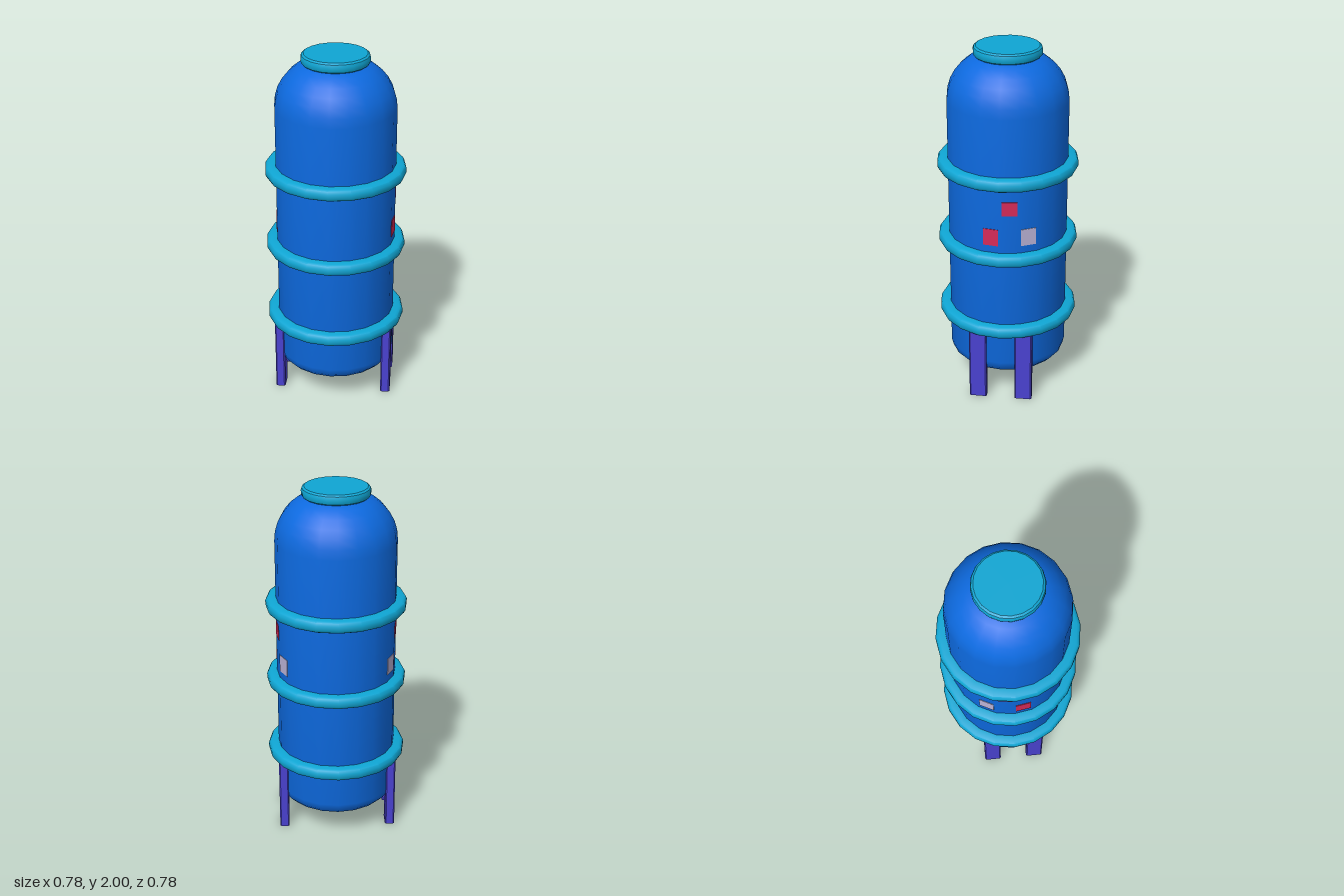
import * as THREE from 'three';
import { toCreasedNormals } from 'three/addons/utils/BufferGeometryUtils.js';

const SIDES = 20;
const RADIUS = 0.333;

function material(name, color) {
  const m = new THREE.MeshStandardMaterial({ color });
  m.name = name;
  return m;
}

// Revolved part from [radius, height] pairs, listed bottom to top
function lathe(points, crease = 0.6) {
  const profile = points.map(([r, y]) => new THREE.Vector2(r, y));
  return toCreasedNormals(new THREE.LatheGeometry(profile, SIDES), crease);
}

export function createModel() {
  const blue = material('tankBlue', 0x0d6ae0);
  const cyan = material('trimCyan', 0x0fa6d4);
  const violet = material('legViolet', 0x4a42d0);
  const red = material('panelRed', 0xd62a58);
  const grey = material('panelGrey', 0xbbb3d6);

  const model = new THREE.Group();
  model.name = 'storageTank';
  function add(name, geometry, mat, x = 0, y = 0, z = 0) {
    const mesh = new THREE.Mesh(geometry, mat);
    mesh.name = name;
    mesh.position.set(x, y, z);
    model.add(mesh);
    return mesh;
  }

  // Tank with rounded foot and domed top
  add('tankBody', lathe([
    [0, 0.15], [0.262, 0.15], [0.298, 0.165], [0.324, 0.192], [RADIUS, 0.23],
    [RADIUS, 1.7], [0.328, 1.752], [0.313, 1.802], [0.288, 1.848],
    [0.254, 1.89], [0.212, 1.924], [0.165, 1.946], [0, 1.955],
  ]), blue);

  // Lid
  add('lid', lathe([
    [0, 1.942], [0.172, 1.942], [0.183, 1.95], [0.187, 1.962],
    [0.187, 1.98], [0.183, 1.992], [0.172, 2], [0, 2],
  ]), cyan);

  // Hoops around the tank
  const hoop = lathe([
    [0.325, -0.034], [0.369, -0.034], [0.382, -0.027], [0.39, -0.012],
    [0.39, 0.012], [0.382, 0.027], [0.369, 0.034], [0.325, 0.034],
  ]);
  [0.451, 0.897, 1.342].forEach((y) => add('hoop', hoop, cyan, 0, y));

  // Legs with narrow chamfered edges
  const w = 0.027, d = 0.049, c = 0.007;
  const section = new THREE.Shape([
    [w, c - d], [w, d - c], [w - c, d], [c - w, d],
    [-w, d - c], [-w, c - d], [c - w, -d], [w - c, -d],
  ].map(([x, y]) => new THREE.Vector2(x, y)));
  const leg = new THREE.ExtrudeGeometry(section, { depth: 0.45, bevelEnabled: false });
  leg.rotateX(-Math.PI / 2);
  for (const x of [-0.306, 0.306]) {
    for (const z of [-0.129, 0.129]) add('leg', leg, violet, x, 0, z);
  }

  // Painted panels, each lying on one facet of the tank, on both sides
  const facet = Math.PI / SIDES;
  const apothem = RADIUS * Math.cos(facet);
  const panels = [
    ['lowerRedPanel', red, facet, 1.022, 0.097],
    ['upperRedPanel', red, -facet, 1.194, 0.08],
    ['greyPanel', grey, -3 * facet, 1.022, 0.097],
  ];
  for (const side of [-1, 1]) {
    for (const [name, mat, angle, y, height] of panels) {
      const x = side * apothem * Math.cos(angle);
      const z = apothem * Math.sin(angle);
      const plate = add(name, new THREE.BoxGeometry(0.085, height, 0.006), mat, x, y, z);
      plate.rotation.y = Math.atan2(x, z);
    }
  }

  return model;
}
